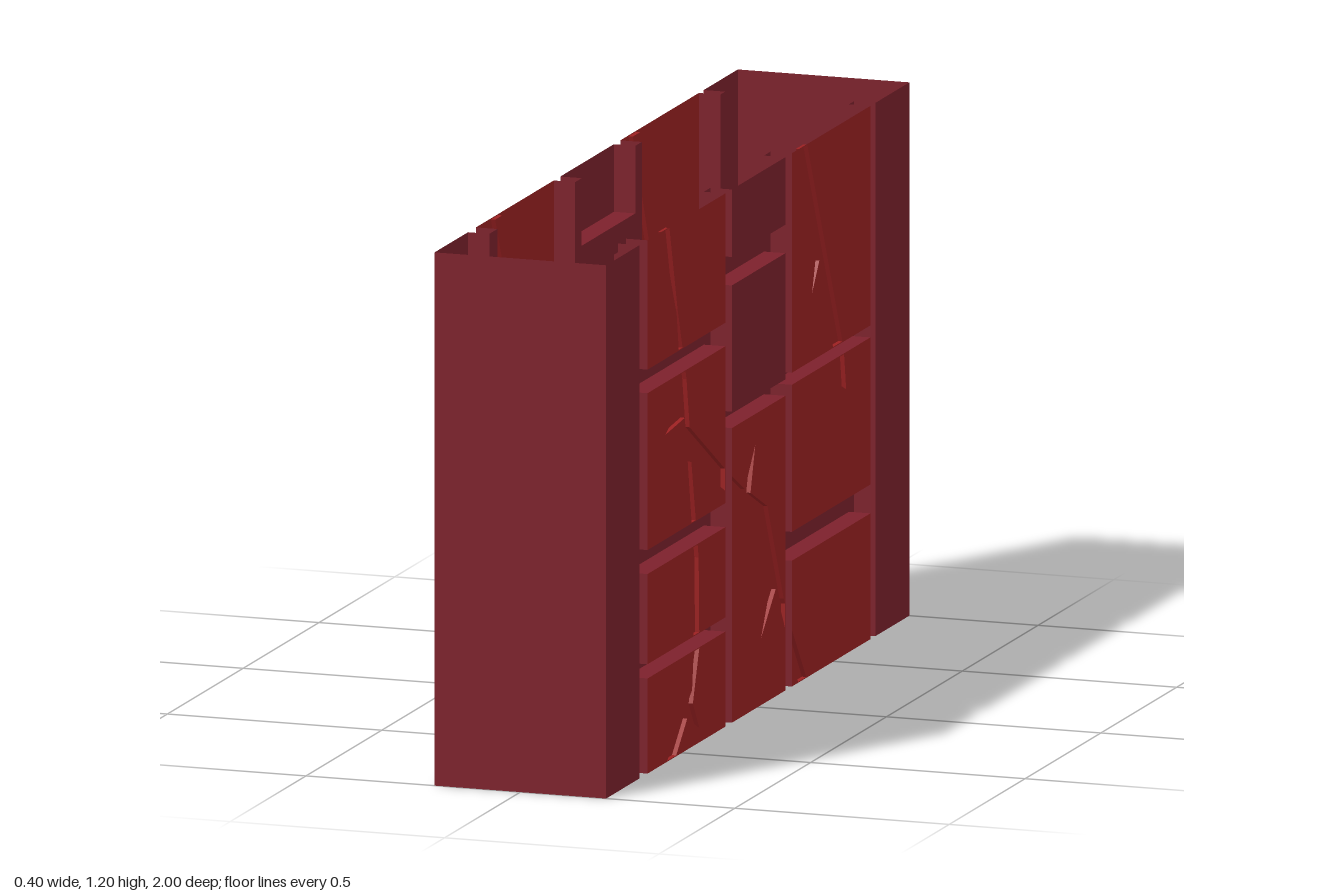
import * as THREE from 'three';

const H = 1.2, FACE = 0.2, GROOVE = 0.15, CRACK = 0.19;
const mortar = new THREE.MeshStandardMaterial({ color: 0x7d212c, side: THREE.DoubleSide });
mortar.name = 'mortar maroon';
const brick = new THREE.MeshStandardMaterial({ color: 0x9c2122, side: THREE.DoubleSide });
brick.name = 'brick red';

// Wall layout: u runs along the wall (u = -z), rows are [bottom, top]
const U0 = -0.78, U1 = 0.775;
const columns = [
  { u: [-0.727, -0.214], rows: [[0, 0.214], [0.246, 0.449], [0.503, 0.856], [0.909, H]] },
  { u: [-0.171, 0.182], rows: [[0, 0.663], [0.70, 0.984], [1.048, H]], plainFrom: 1 },
  { u: [0.225, 0.743], rows: [[0, 0.283], [0.348, 0.679], [0.706, H]] },
];

// Crack outlines (u, y) running over several bricks
const cracks = [
  [[-.63, 1.2], [-.535, .995], [-.503, .803], [-.497, .79], [-.61, .738], [-.481, .75], [-.428, .46],
    [-.422, .22], [-.433, .128], [-.6, 0], [-.54, 0], [-.465, .07], [-.385, .032], [-.428, .096],
    [-.385, .214], [-.39, .417], [-.438, .642], [-.203, .525], [-.171, .541], [.037, .396], [.096, .278],
    [.021, .15], [.118, .241], [.267, 0], [.321, 0], [.225, .128], [.171, .209], [.064, .439],
    [-.048, .492], [-.016, .594], [-.086, .508], [-.193, .567], [-.449, .722], [-.47, .835],
    [-.529, 1.005], [-.583, 1.2]],
  [[.278, 1.2], [.385, .942], [.358, .857], [.406, .921], [.535, .616], [.583, .595], [.567, .69], [.326, 1.2]],
];

// Cut an outline to a rectangle, one side after another
function clip(points, [a, b], [lo, hi]) {
  for (const [axis, limit, sign] of [[0, a, 1], [0, b, -1], [1, lo, 1], [1, hi, -1]]) {
    const out = [];
    points.forEach((p, i) => {
      const q = points[(i + 1) % points.length];
      const dp = (p[axis] - limit) * sign, dq = (q[axis] - limit) * sign;
      if (dp >= 0) out.push(p);
      if (dp * dq < 0) {
        const t = dp / (dp - dq);
        out.push([p[0] + (q[0] - p[0]) * t, p[1] + (q[1] - p[1]) * t]);
      }
    });
    points = out;
  }
  return points;
}

const vectors = (points) => points.map((p) => new THREE.Vector2(p[0], p[1]));

// Flat strips along a path, standing between depths d0 and d1
function ribbon(points, d0, d1, closed = false) {
  const pos = [];
  for (let i = 0; i < points.length - (closed ? 0 : 1); i++) {
    const a = points[i], b = points[(i + 1) % points.length];
    pos.push(...a, d0, ...b, d0, ...b, d1, ...a, d0, ...b, d1, ...a, d1);
  }
  const g = new THREE.BufferGeometry();
  g.setAttribute('position', new THREE.Float32BufferAttribute(pos, 3));
  g.computeVertexNormals();
  return g;
}

function add(group, name, geometry, material, depth = 0) {
  const mesh = new THREE.Mesh(geometry, material);
  mesh.name = name;
  mesh.position.z = depth;
  group.add(mesh);
}

// One raised brick: face with cracks cut in, crack floor and walls, and edges
function buildBrick(m, [a, b], [lo, hi], material) {
  const g = new THREE.Group();
  g.name = 'brickPanel';
  const flip = (pts) => pts.map(([u, y]) => [u * m, y]);
  const face = new THREE.Shape(vectors(flip([[a, lo], [b, lo], [b, hi], [a, hi]])));
  if (material === brick) {
    for (const crack of cracks) {
      const e = 0.002;
      const cut = flip(clip(crack, [a + e, b - e], [lo + e, hi - e]));
      if (cut.length < 3) continue;
      face.holes.push(new THREE.Path(vectors(cut)));
      add(g, 'crackFloor', new THREE.ShapeGeometry(new THREE.Shape(vectors(cut))), brick, CRACK);
      add(g, 'crackWalls', ribbon(cut, CRACK, FACE, true), brick);
    }
  }
  add(g, 'brickFace', new THREE.ShapeGeometry(face), material, FACE);
  // Edges stay open along the wall's top and bottom
  const [l, r] = m > 0 ? [a, b] : [-b, -a];
  add(g, 'brickSide', ribbon([[r, lo], [r, hi]], GROOVE, FACE), mortar);
  add(g, 'brickSide', ribbon([[l, hi], [l, lo]], GROOVE, FACE), mortar);
  if (hi < H) add(g, 'brickTop', ribbon([[r, hi], [l, hi]], GROOVE, FACE), mortar);
  if (lo > 0) add(g, 'brickUnderside', ribbon([[l, lo], [r, lo]], GROOVE, FACE), mortar);
  return g;
}

// One long side, built facing +z; m mirrors it along its length
function buildWall(m) {
  const wall = new THREE.Group();
  wall.name = m > 0 ? 'leftWall' : 'rightWall';
  const joint = (a, b, lo, hi) => {
    const g = new THREE.PlaneGeometry(b - a, hi - lo);
    g.translate(m * (a + b) / 2, (lo + hi) / 2, 0);
    add(wall, 'mortarJoint', g, mortar, GROOVE);
  };
  let start = U0;
  for (const { u, rows, plainFrom = 9 } of columns) {
    joint(start, u[0], 0, H);
    start = u[1];
    rows.forEach((row, i) => {
      wall.add(buildBrick(m, u, row, i >= plainFrom ? mortar : brick));
      if (i > 0) joint(u[0], u[1], rows[i - 1][1], row[0]);
    });
  }
  joint(start, U1, 0, H);
  wall.rotation.y = m * Math.PI / 2;
  return wall;
}

// Open-topped end cover wrapping round to both long sides
function buildEnd(name, inner) {
  const path = [[-GROOVE, -inner], [-FACE, -inner], [-FACE, -1], [FACE, -1], [FACE, -inner], [GROOVE, -inner]];
  const g = ribbon(path, 0, H);
  g.rotateX(-Math.PI / 2);
  const end = new THREE.Mesh(g, mortar);
  end.name = name;
  return end;
}

export function createModel() {
  const model = new THREE.Group();
  model.name = 'crackedBrickWall';
  model.add(buildWall(1), buildWall(-1));
  const front = buildEnd('frontEnd', -U0);
  const back = buildEnd('backEnd', U1);
  back.rotation.y = Math.PI;
  model.add(front, back);
  return model;
}
